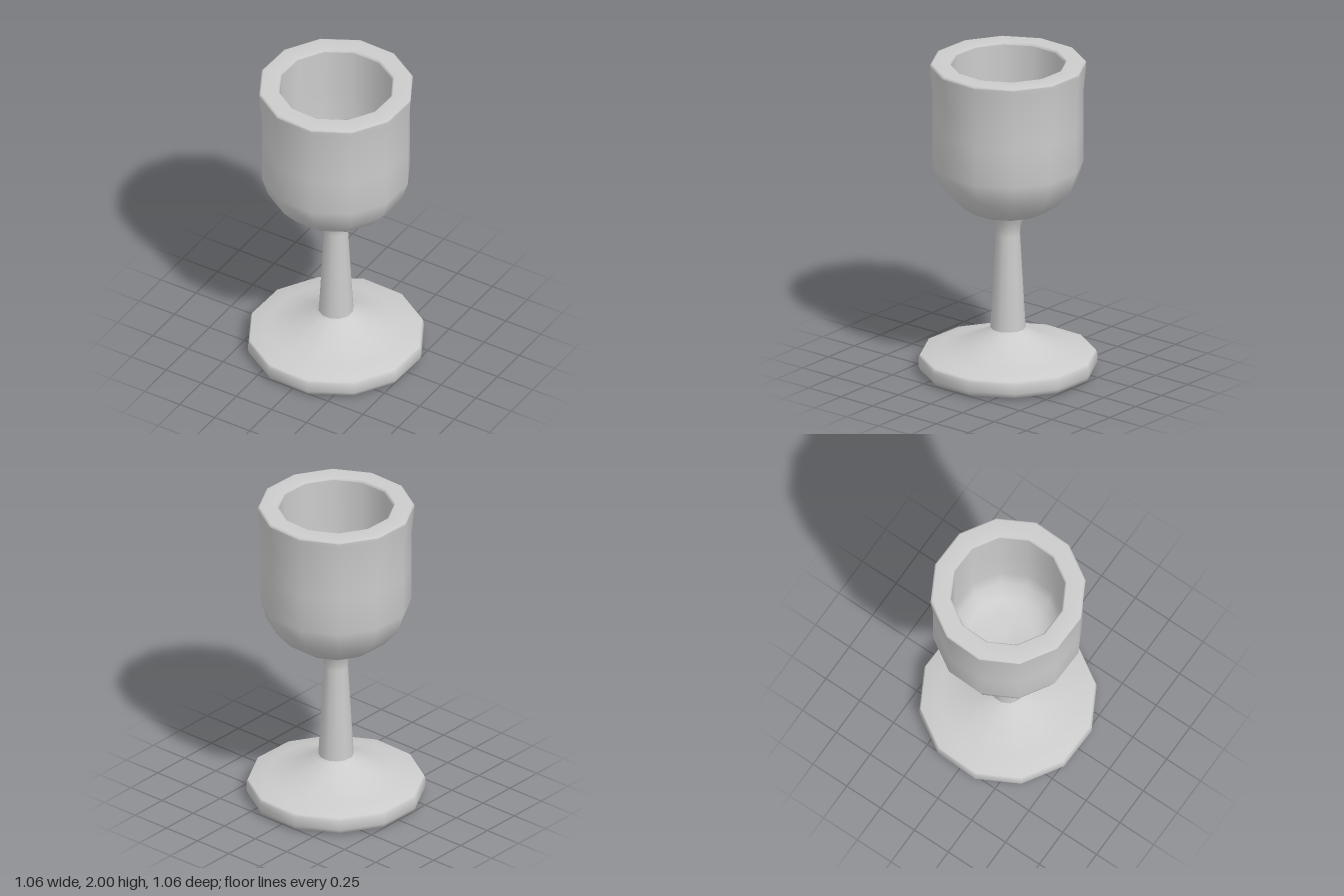
import * as THREE from 'three';

const SIDES = 12;
const TURN = THREE.MathUtils.degToRad(13.3);

export function createModel() {
  const goblet = new THREE.Group();
  goblet.name = 'goblet';
  const material = new THREE.MeshStandardMaterial({ color: 0xcccccc });

  // Each part is a twelve-sided turned section; profiles hold [radius, height]
  // and run from the underside outwards, up and back down into the bowl.
  function turned(name, profile) {
    const points = profile.map(([r, y]) => new THREE.Vector2(r, y));
    const mesh = new THREE.Mesh(new THREE.LatheGeometry(points, SIDES, TURN), material);
    mesh.name = name;
    goblet.add(mesh);
  }

  // Flat underside
  turned('footUnderside', [[0, 0], [0.3, 0.003], [0.52, 0.012]]);

  // Foot with a softened edge and a sloping top
  turned('foot', [
    [0.52, 0.012], [0.535, 0.02], [0.545, 0.045], [0.546, 0.08], [0.543, 0.105],
    [0.535, 0.122], [0.42, 0.147], [0.315, 0.172], [0.21, 0.222], [0.13, 0.265], [0.108, 0.285],
  ]);

  // Tapering stem flaring into the bowl
  turned('stem', [
    [0.108, 0.285], [0.1, 0.42], [0.088, 0.64], [0.074, 0.89],
    [0.076, 0.93], [0.088, 0.975], [0.104, 1.012],
  ]);

  // Rounded bowl with straight walls and a slight flare at the lip
  turned('bowl', [
    [0.09, 1.01], [0.104, 1.012], [0.17, 1.033], [0.245, 1.06], [0.325, 1.115],
    [0.422, 1.225], [0.46, 1.35], [0.46, 1.6], [0.46, 1.8], [0.476, 1.96], [0.477, 1.985],
  ]);

  // Thick flat rim with bevelled edges
  turned('rim', [
    [0.477, 1.985], [0.474, 1.995], [0.464, 2], [0.41, 2], [0.362, 2], [0.354, 1.996], [0.35, 1.985],
  ]);

  // Hollow inside of the bowl
  turned('bowlInside', [
    [0.35, 1.985], [0.348, 1.7], [0.345, 1.38], [0.32, 1.27], [0.25, 1.19], [0.17, 1.16], [0, 1.15],
  ]);

  return goblet;
}
